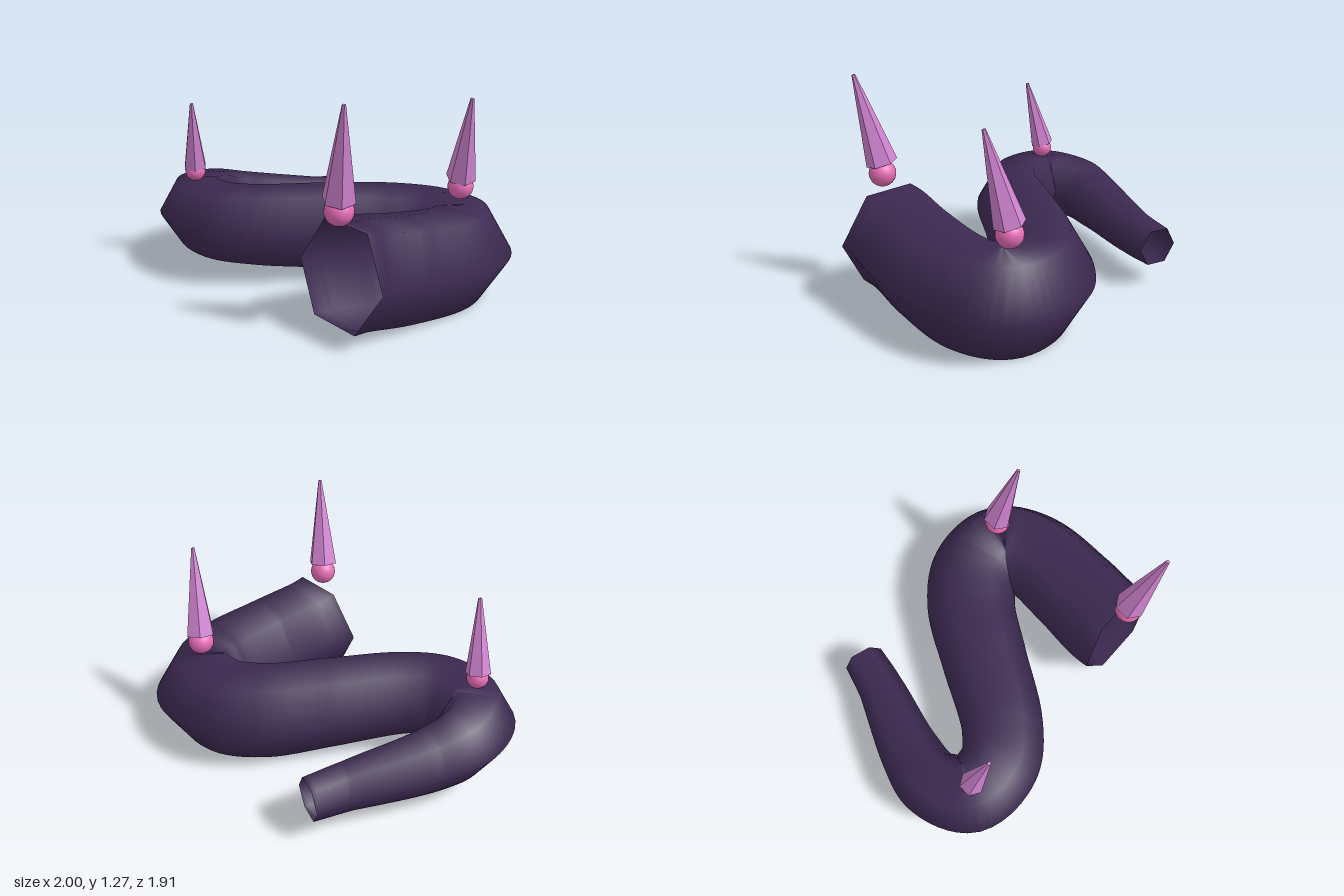
import * as THREE from 'three';

// Spine of the body, thick end to thin end: x, y, z, radius
const SPINE = [
  [-0.075, 0.36, 0.695, 0.305], [0.01, 0.345, 0.64, 0.303], [0.27, 0.3, 0.53, 0.3],
  [0.6, 0.26, 0.35, 0.293], [0.71, 0.25, 0.17, 0.288], [0.6, 0.255, -0.02, 0.28],
  [0.36, 0.27, -0.115, 0.273], [0, 0.3, -0.13, 0.258], [-0.45, 0.33, -0.14, 0.238],
  [-0.66, 0.34, -0.22, 0.232], [-0.775, 0.345, -0.42, 0.225], [-0.66, 0.33, -0.61, 0.2],
  [-0.46, 0.295, -0.69, 0.178], [0, 0.25, -0.78, 0.133], [0.21, 0.24, -0.84, 0.12],
];

// Open tapered tube with a six-sided section, flat side up
function bodyGeometry(steps = 112, sides = 6) {
  const curve = new THREE.CatmullRomCurve3(SPINE.map(([x, y, z]) => new THREE.Vector3(x, y, z)));
  const up = new THREE.Vector3(0, 1, 0);
  const positions = [], index = [];
  for (let i = 0; i <= steps; i++) {
    const t = i / steps, f = t * (SPINE.length - 1);
    const k = Math.min(Math.floor(f), SPINE.length - 2);
    const radius = THREE.MathUtils.lerp(SPINE[k][3], SPINE[k + 1][3], f - k);
    const centre = curve.getPoint(t), tangent = curve.getTangent(t);
    const side = up.clone().cross(tangent).normalize();
    const normal = tangent.clone().cross(side);
    for (let j = 0; j < sides; j++) {
      const a = (j / sides) * Math.PI * 2;
      const p = centre.clone()
        .addScaledVector(side, radius * Math.cos(a))
        .addScaledVector(normal, radius * Math.sin(a));
      positions.push(p.x, p.y, p.z);
      if (i < steps) {
        const p0 = i * sides + j, p1 = i * sides + (j + 1) % sides;
        index.push(p0, p1, p0 + sides, p1, p1 + sides, p0 + sides);
      }
    }
  }
  const geometry = new THREE.BufferGeometry();
  geometry.setAttribute('position', new THREE.Float32BufferAttribute(positions, 3));
  geometry.setIndex(index);
  geometry.computeVertexNormals();
  return geometry;
}

export function createModel() {
  const model = new THREE.Group();
  model.name = 'spikedSerpentineBody';
  const bodyMaterial = new THREE.MeshStandardMaterial({ color: 0x3d2a52, side: THREE.DoubleSide });
  const beadMaterial = new THREE.MeshStandardMaterial({ color: 0xe86eb8 });
  const spikeMaterial = new THREE.MeshStandardMaterial({ color: 0xd285d2, flatShading: true });

  const add = (parent, name, geometry, material) => {
    const mesh = new THREE.Mesh(geometry, material);
    mesh.name = name;
    parent.add(mesh);
    return mesh;
  };

  add(model, 'body', bodyGeometry(), bodyMaterial);

  // Beads along the back, each carrying a forward-leaning spike
  const spikes = [
    { at: [-0.08, 0.71, 0.703], bead: 0.076, lift: 0.06, base: 0.088, height: 0.515 },
    { at: [0.705, 0.605, 0.153], bead: 0.073, lift: 0.05, base: 0.085, height: 0.5 },
    { at: [-0.775, 0.592, -0.4], bead: 0.06, lift: 0.03, base: 0.07, height: 0.42 },
  ];
  for (const { at, bead, lift, base, height } of spikes) {
    const group = new THREE.Group();
    group.name = 'spikeWithBead';
    group.position.set(...at);
    add(group, 'bead', new THREE.SphereGeometry(bead, 24, 16), beadMaterial);
    const cone = new THREE.CylinderGeometry(0.01, base, height, 6);
    cone.translate(0, height / 2, 0).rotateX(0.25).translate(0, lift, 0);
    add(group, 'spike', cone, spikeMaterial);
    model.add(group);
  }
  return model;
}
